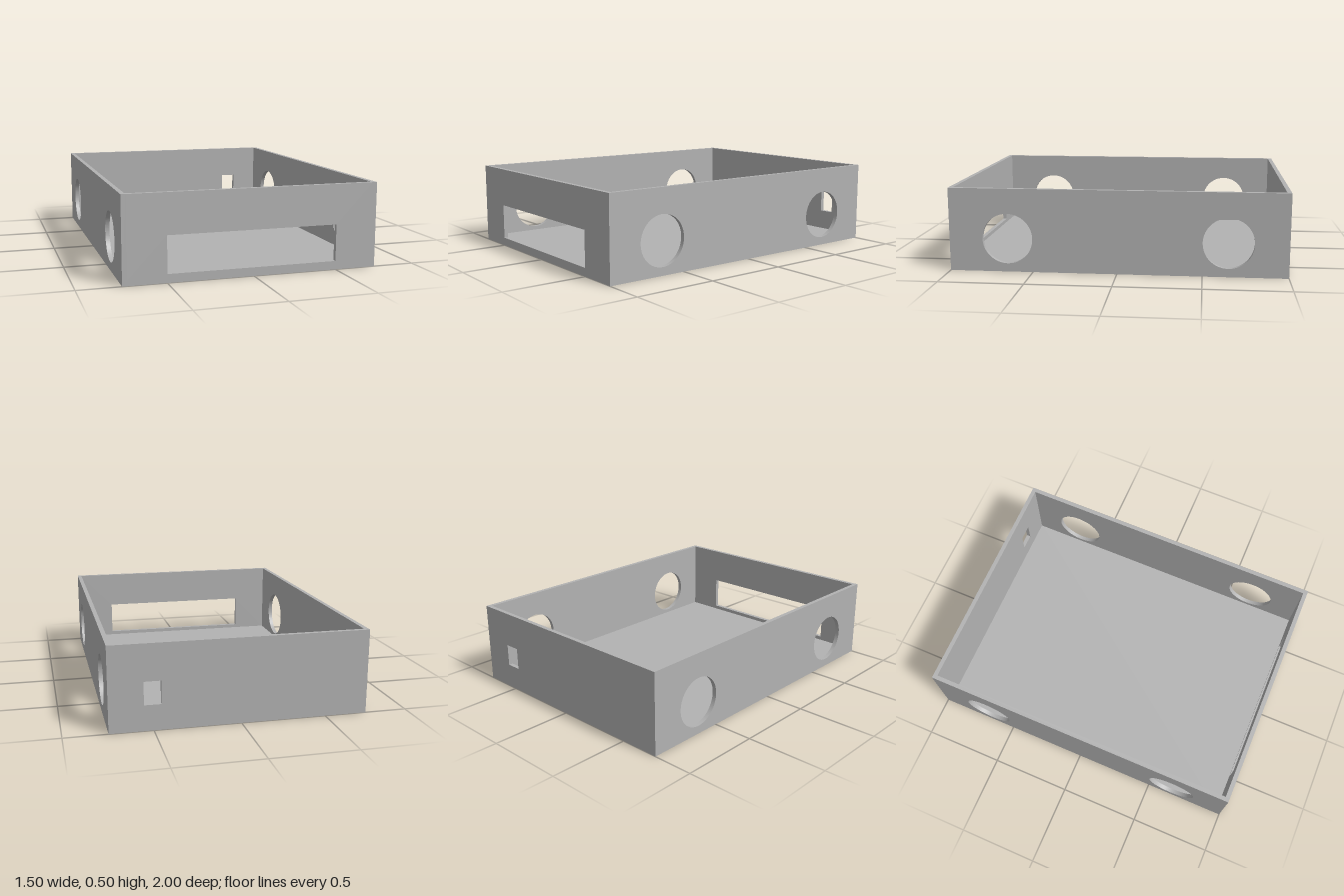
import * as THREE from 'three';

const W = 1.5, H = 0.5, D = 2, T = 0.026; // outer size and wall thickness

// Rectangle path running from (x0, y0) to (x1, y1)
function rect(target, x0, y0, x1, y1) {
  target.moveTo(x0, y0);
  target.lineTo(x1, y0);
  target.lineTo(x1, y1);
  target.lineTo(x0, y1);
  target.closePath();
  return target;
}

// Upright panel standing on the floor plate, with cut-outs, extruded along +z by T
function panel(name, length, holes, material) {
  const shape = rect(new THREE.Shape(), -length / 2, T, length / 2, H);
  shape.holes.push(...holes);
  const geometry = new THREE.ExtrudeGeometry(shape, { depth: T, bevelEnabled: false, curveSegments: 48 });
  const mesh = new THREE.Mesh(geometry, material);
  mesh.name = name;
  return mesh;
}

export function createModel() {
  const group = new THREE.Group();
  group.name = 'openEnclosure';
  const grey = new THREE.MeshStandardMaterial({ color: 0xb2b2b2 });
  grey.name = 'plain grey';

  // Floor plate
  const floor = new THREE.Mesh(new THREE.BoxGeometry(W, T, D), grey);
  floor.name = 'floor';
  floor.position.y = T / 2;
  group.add(floor);

  // Front wall with the wide display slot
  const front = panel('frontWall', W - 2 * T, [rect(new THREE.Path(), -0.5, 0.05, 0.5, 0.265)], grey);
  front.position.z = D / 2 - T;
  group.add(front);

  // Back wall with the small socket opening
  const back = panel('backWall', W - 2 * T, [rect(new THREE.Path(), 0.455, 0.15, 0.553, 0.285)], grey);
  back.position.z = -D / 2;
  group.add(back);

  // Side walls, each with two round holes
  for (const side of [-1, 1]) {
    const holes = [-0.65, 0.65].map((u) => new THREE.Path().absarc(u, 0.2, 0.15, 0, Math.PI * 2, true));
    const wall = panel(side > 0 ? 'leftWall' : 'rightWall', D, holes, grey);
    wall.rotation.y = side * Math.PI / 2;
    wall.position.x = side * (W / 2 - T);
    group.add(wall);
  }

  return group;
}
